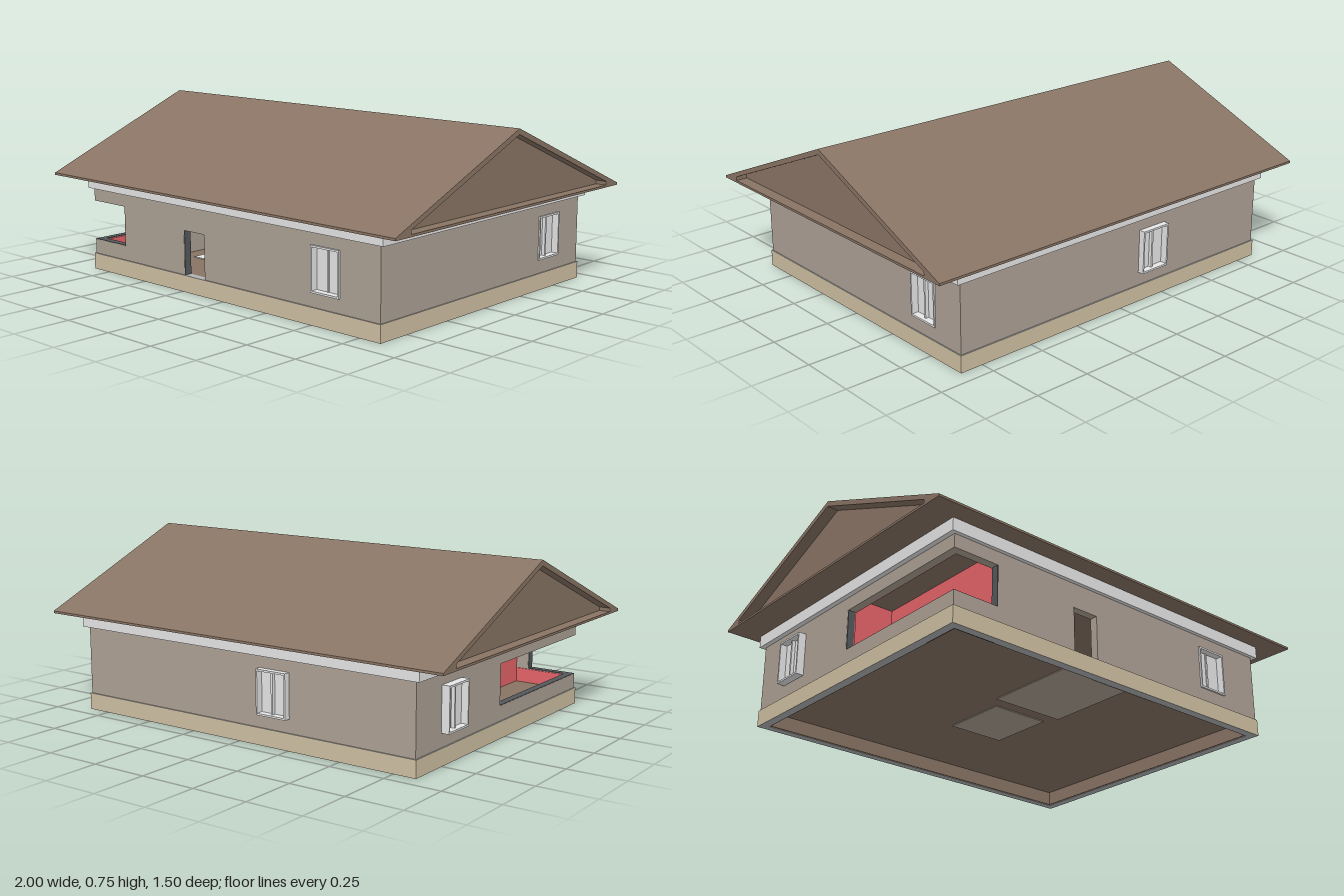
import * as THREE from 'three';

export function createModel() {
  const house = new THREE.Group();
  house.name = 'house';
  const mat = (name, color) => {
    const m = new THREE.MeshStandardMaterial({ color });
    m.name = name;
    return m;
  };
  const roofBrown = mat('roofBrown', 0x897464);
  const wallGrey = mat('wallGrey', 0xada195);
  const baseTan = mat('baseTan', 0xcfc0a3);
  const trim = mat('trimLightGrey', 0xe6e6e6);
  const core = mat('wallCore', 0x55585a);
  const concrete = mat('concrete', 0xaeb2b5);
  const red = mat('redLining', 0xe66469);

  const add = (name, geo, material, parent = house) => {
    const mesh = new THREE.Mesh(geo, material);
    mesh.name = name;
    parent.add(mesh);
    return mesh;
  };
  // Box given by its min and max corners
  const box = (name, material, x0, x1, y0, y1, z0, z1) => {
    const g = new THREE.BoxGeometry(x1 - x0, y1 - y0, z1 - z0);
    g.translate((x0 + x1) / 2, (y0 + y1) / 2, (z0 + z1) / 2);
    return add(name, g, material);
  };
  const poly = (pts) => pts.map(([x, y]) => new THREE.Vector2(x, y));
  const rect = (x0, x1, y0, y1) => [[x0, y0], [x1, y0], [x1, y1], [x0, y1]];
  const extrude = (pts, holes, depth) => {
    const s = new THREE.Shape(poly(pts));
    holes.forEach((h) => s.holes.push(new THREE.Path(poly(h))));
    return new THREE.ExtrudeGeometry(s, { depth, bevelEnabled: false });
  };
  // Horizontal rectangular ring
  const ring = (name, material, [x0, x1, z0, z1], [ix0, ix1, iz0, iz1], y0, y1) => {
    const g = extrude(rect(x0, x1, -z1, -z0), [rect(ix0, ix1, -iz1, -iz0)], y1 - y0);
    g.rotateX(-Math.PI / 2).translate(0, y0, 0);
    return add(name, g, material);
  };

  const T = 0.035, W0 = 0.073, W1 = 0.373, EAVES = 0.427;

  // Plinth, open underneath, with brown inner lining
  ring('plinth', [concrete, baseTan], [-0.851, 0.855, -0.686, 0.656], [-0.815, 0.815, -0.65, 0.62], 0, W0);
  ring('plinthLining', roofBrown, [-0.816, 0.816, -0.651, 0.621], [-0.809, 0.809, -0.644, 0.614], 0.002, 0.071);
  // Paler stretches of the lining
  box('hallPlinthLining', wallGrey, -0.11, 0.24, 0.003, 0.066, 0.609, 0.615);
  box('frontLiningStrip', trim, -0.39, -0.36, 0.003, 0.066, 0.609, 0.615);
  box('leftLiningStrip', trim, -0.81, -0.804, 0.003, 0.066, -0.075, -0.045);

  // Floor with two paler room slabs underneath and a light patch in the hall
  box('floor', roofBrown, -0.82, 0.82, 0.064, W0, -0.66, 0.63);
  box('hallFloorSlab', wallGrey, -0.18, 0.17, 0.06, 0.065, 0.11, 0.605);
  box('innerFloorSlab', wallGrey, -0.13, 0.14, 0.06, 0.065, -0.25, 0.05);
  box('hallFloorPatch', trim, -0.45, -0.2, W0, 0.077, 0.25, 0.41);

  // Outer walls
  const winY = 0.226;
  const hole = (c) => rect(c - 0.07, c + 0.07, winY - 0.09, winY + 0.09);
  const front = [
    [-0.845, W0], [-0.24, W0], [-0.24, 0.266], [-0.114, 0.266], [-0.114, W0], [0.85, W0],
    [0.85, W1], [-0.845, W1], [-0.845, 0.315], [-0.632, 0.315], [-0.632, 0.138], [-0.845, 0.138],
  ];
  add('frontWall', extrude(front, [hole(0.573)], T).translate(0, 0, 0.615), wallGrey);
  add('backWall', extrude(rect(-0.845, 0.85, W0, W1), [hole(-0.18)], T).translate(0, 0, -0.68), wallGrey);
  const leftSide = [
    [-0.645, W0], [0.615, W0], [0.615, 0.138], [-0.04, 0.138],
    [-0.04, 0.315], [0.615, 0.315], [0.615, W1], [-0.645, W1],
  ];
  const sideWall = (name, pts, holes, x) =>
    add(name, extrude(pts, holes, T).rotateY(-Math.PI / 2).translate(x, 0, 0), wallGrey);
  sideWall('rightWall', rect(-0.645, 0.615, W0, W1), [hole(-0.454)], 0.85);
  sideWall('leftWall', leftSide, [hole(-0.425)], -0.81);

  // Dark cut ends of the walls at the corner opening and the doorway
  box('wallEnd', core, -0.844, -0.813, 0.138, 0.315, -0.041, -0.036);
  box('openingJamb', core, -0.635, -0.631, 0.138, 0.315, 0.616, 0.649);
  box('parapetCapFront', core, -0.844, -0.632, 0.136, 0.14, 0.616, 0.649);
  box('parapetCapSide', core, -0.844, -0.811, 0.136, 0.14, -0.04, 0.616);
  box('doorJamb', core, -0.242, -0.237, W0, 0.266, 0.616, 0.649);

  // Partitions
  box('porchBackPartition', wallGrey, -0.809, -0.535, W0, EAVES, -0.155, -0.12);
  box('porchSidePartition', wallGrey, -0.57, -0.535, W0, EAVES, -0.12, 0.615);
  box('hallPartition', wallGrey, -0.155, -0.134, W0, EAVES, -0.64, 0.1);
  box('hallCrossPartition', wallGrey, -0.134, 0.2, W0, EAVES, 0.05, 0.08);

  // Red lining inside the corner porch
  box('porchBackLining', red, -0.813, -0.57, W0, EAVES, -0.121, -0.115);
  box('porchSideLining', red, -0.576, -0.569, W0, EAVES, -0.115, 0.61);
  box('leftReturnLining', red, -0.813, -0.807, 0.138, 0.315, -0.115, -0.037);
  [[W0, 0.136], [0.317, EAVES]].forEach(([y0, y1]) => {
    box('frontInnerLining', red, -0.805, -0.57, y0, y1, 0.61, 0.616);
    box('leftInnerLining', red, -0.811, -0.805, y0, y1, -0.115, 0.616);
  });

  // Light band under the eaves
  ring('eavesBand', trim, [-0.867, 0.874, -0.697, 0.667], [-0.81, 0.815, -0.645, 0.615], W1, EAVES);

  // Roof: hollow prism with inset gables
  const roofProfile = [[-0.75, EAVES], [0.75, EAVES], [0.75, 0.437], [0, 0.75], [-0.75, 0.437]];
  const gableProfile = [[-0.66, 0.437], [0.66, 0.437], [0.66, 0.453], [0, 0.726], [-0.66, 0.453]];
  add('roof', extrude(roofProfile, [gableProfile], 2).rotateY(Math.PI / 2).translate(-1, 0, 0), roofBrown);
  for (const x of [-0.95, 0.94]) {
    add('gable', extrude(gableProfile, [], 0.01).rotateY(Math.PI / 2).translate(x, 0, 0), roofBrown);
  }

  // Windows: deep frame ring, recessed pane and slim middle bar; outer face at local z = 0
  const windowUnit = (name, x, z, turn, depth, barDepth) => {
    const g = new THREE.Group();
    g.name = name;
    const frame = extrude(rect(-0.074, 0.074, -0.095, 0.095), [rect(-0.067, 0.067, -0.087, 0.087)], depth);
    add('windowFrame', frame.translate(0, 0, -depth), trim, g);
    add('windowPane', new THREE.BoxGeometry(0.136, 0.176, 0.006).translate(0, 0, -0.034), trim, g);
    const bar = new THREE.BoxGeometry(0.009, 0.174, barDepth);
    add('windowBar', bar.translate(-0.005, 0, -0.032 + barDepth / 2), trim, g);
    g.position.set(x, winY, z);
    g.rotation.y = turn;
    house.add(g);
  };
  windowUnit('frontWindow', 0.573, 0.658, 0, 0.05, 0.006);
  windowUnit('rightWindow', 0.856, -0.454, Math.PI / 2, 0.05, 0.016);
  windowUnit('backWindow', -0.18, -0.707, Math.PI, 0.065, 0.016);
  windowUnit('leftWindow', -0.88, -0.425, -Math.PI / 2, 0.07, 0.016);

  return house;
}
